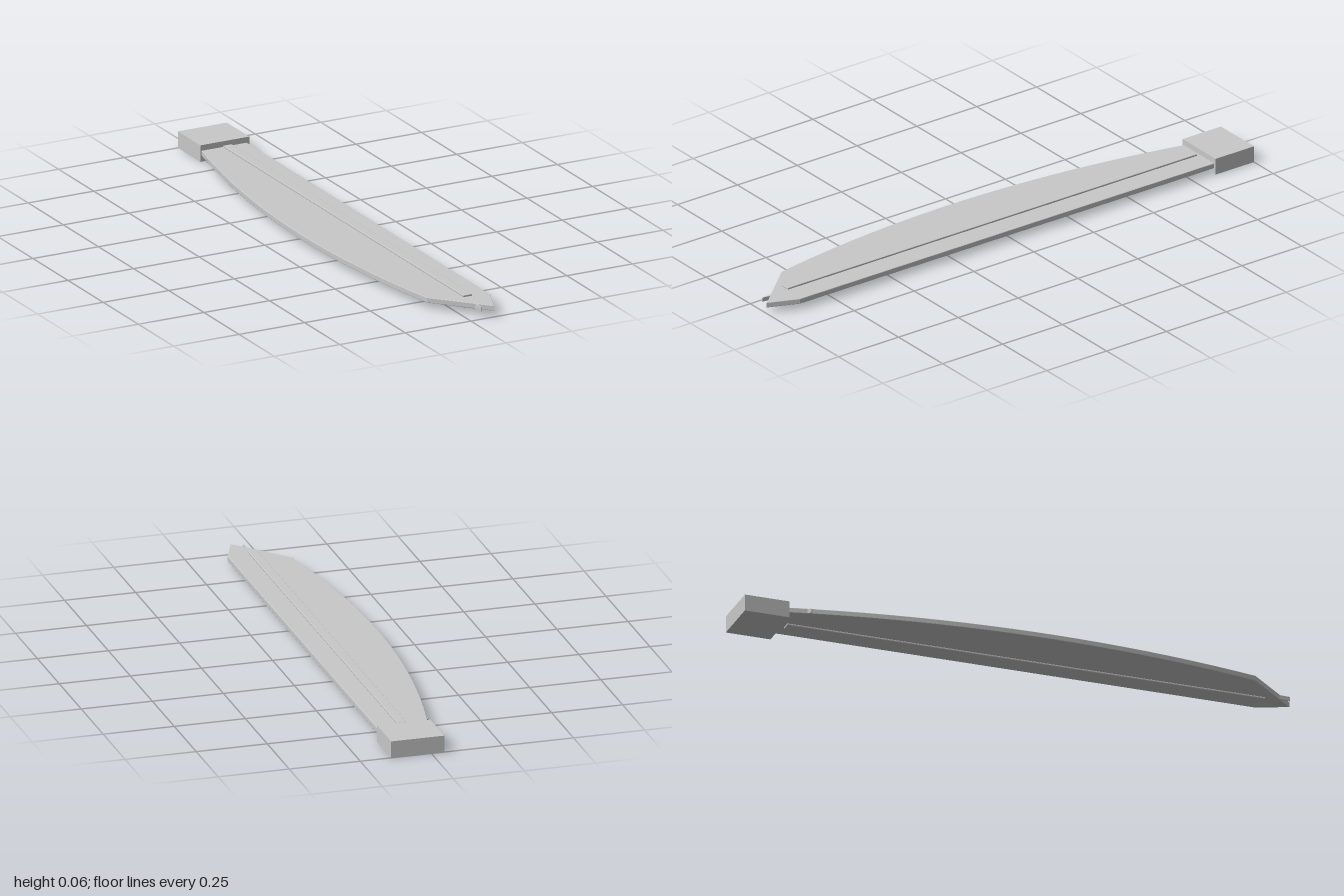
import * as THREE from 'three';

// Extrudes a plan outline (x, z) upward between two heights with a slim bevel
function slab(shape, bottom, top, bevel) {
  const g = new THREE.ExtrudeGeometry(shape, {
    depth: top - bottom - 2 * bevel,
    bevelEnabled: bevel > 0,
    bevelThickness: bevel,
    bevelSize: bevel,
    bevelOffset: -bevel,
    bevelSegments: 2,
    curveSegments: 20,
  });
  g.rotateX(Math.PI / 2);
  g.translate(0, top - bevel, 0);
  return g;
}

function polygon(points) {
  return new THREE.Shape(points.map(([x, z]) => new THREE.Vector2(x, z)));
}

export function createModel() {
  const group = new THREE.Group();
  const grey = new THREE.MeshStandardMaterial({ color: 0xc8c8c8 });
  grey.name = 'light grey';

  const add = (name, geometry) => {
    const mesh = new THREE.Mesh(geometry, grey);
    mesh.name = name;
    group.add(mesh);
    return mesh;
  };

  // Root block
  add('rootBlock', new THREE.BoxGeometry(0.187, 0.059, 0.16)).position.set(0.048, 0.0295, -0.92);

  // Blade: straight edge on +x, bowed edge on -x, clipped tip
  const outline = new THREE.Shape();
  outline.moveTo(0.133, -0.86);
  outline.lineTo(0.133, 0.89);
  outline.lineTo(0.09, 0.998);
  outline.lineTo(-0.07, 0.818);
  outline.quadraticCurveTo(-0.231, 0, -0.04, -0.84);
  outline.lineTo(-0.04, -0.86);
  add('blade', slab(outline, 0.02, 0.039, 0.002));

  // Long ribs floating just above and below the blade
  const ribPlan = polygon([[0.031, -0.82], [0.064, -0.82], [0.064, 0.89], [0.031, 0.89]]);
  add('upperRib', slab(ribPlan, 0.045, 0.052, 0.002));
  add('lowerRib', slab(ribPlan, 0.008, 0.015, 0.002));

  // Small slivers on the tip and beside the root
  add('tipSpike', slab(polygon([[0.043, 0.93], [0.053, 0.93], [0.049, 0.985], [0.046, 0.985]]), 0.022, 0.037, 0));
  add('rootBarb', slab(polygon([[-0.045, -0.79], [-0.062, -0.768], [-0.05, -0.755]]), 0.022, 0.037, 0));

  return group;
}
